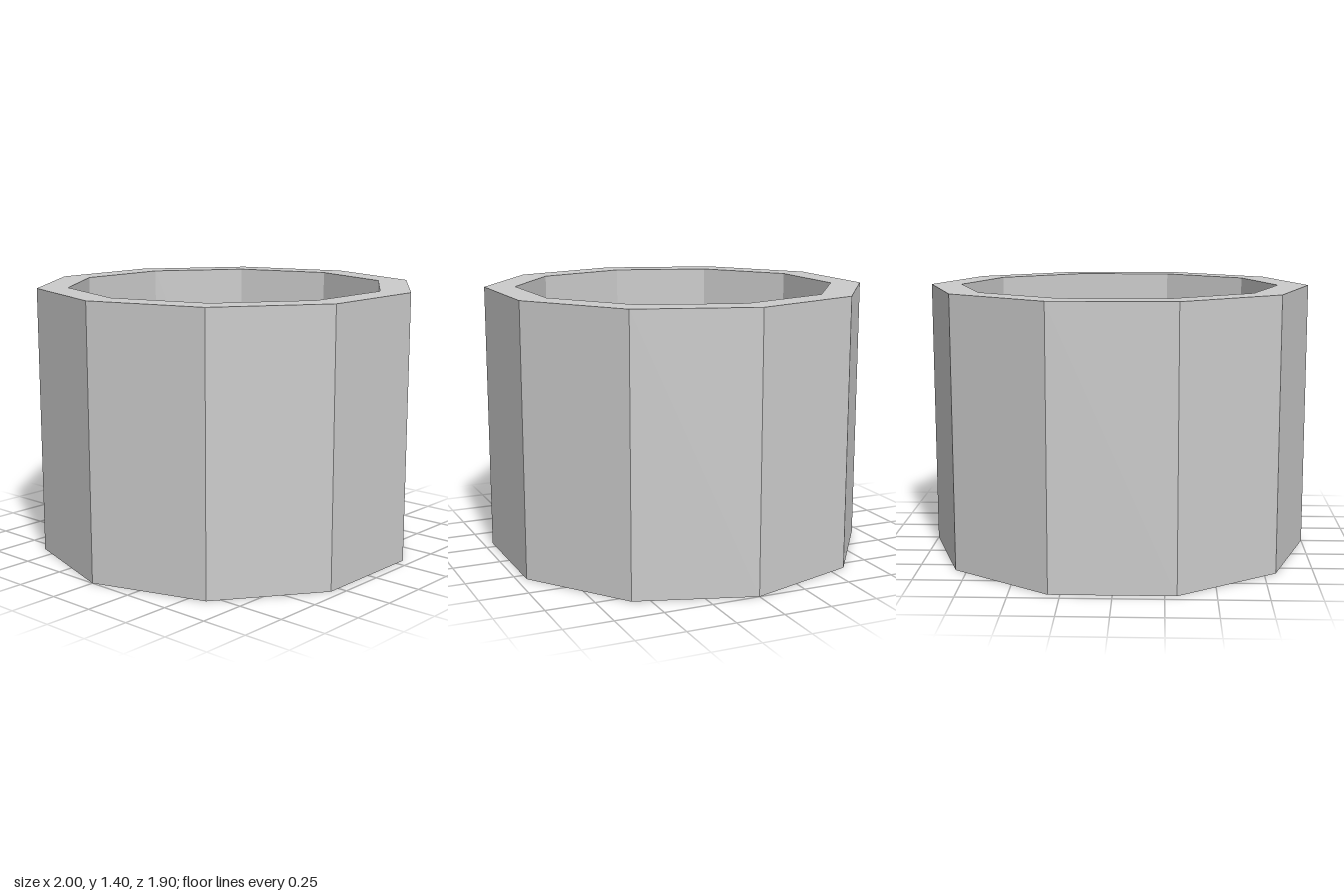
import * as THREE from 'three';

const SIDES = 10, OUTER = 1, INNER = 0.84, HEIGHT = 1.4;

// Corners of a regular polygon, the first one on +x
function polygon(radius) {
  return Array.from({ length: SIDES }, (_, i) => {
    const a = (i / SIDES) * Math.PI * 2;
    return new THREE.Vector2(Math.cos(a) * radius, Math.sin(a) * radius);
  });
}

export function createModel() {
  const group = new THREE.Group();
  group.name = 'decagonalTube';

  // Ten-sided ring with an open bore, extruded upwards
  const ring = new THREE.Shape(polygon(OUTER));
  ring.holes.push(new THREE.Path(polygon(INNER).reverse()));
  const geometry = new THREE.ExtrudeGeometry(ring, { depth: HEIGHT, bevelEnabled: false });
  geometry.rotateX(-Math.PI / 2);

  const material = new THREE.MeshStandardMaterial({ color: 0xcccccc, flatShading: true });
  const wall = new THREE.Mesh(geometry, material);
  wall.name = 'tubeWall';
  group.add(wall);
  return group;
}
